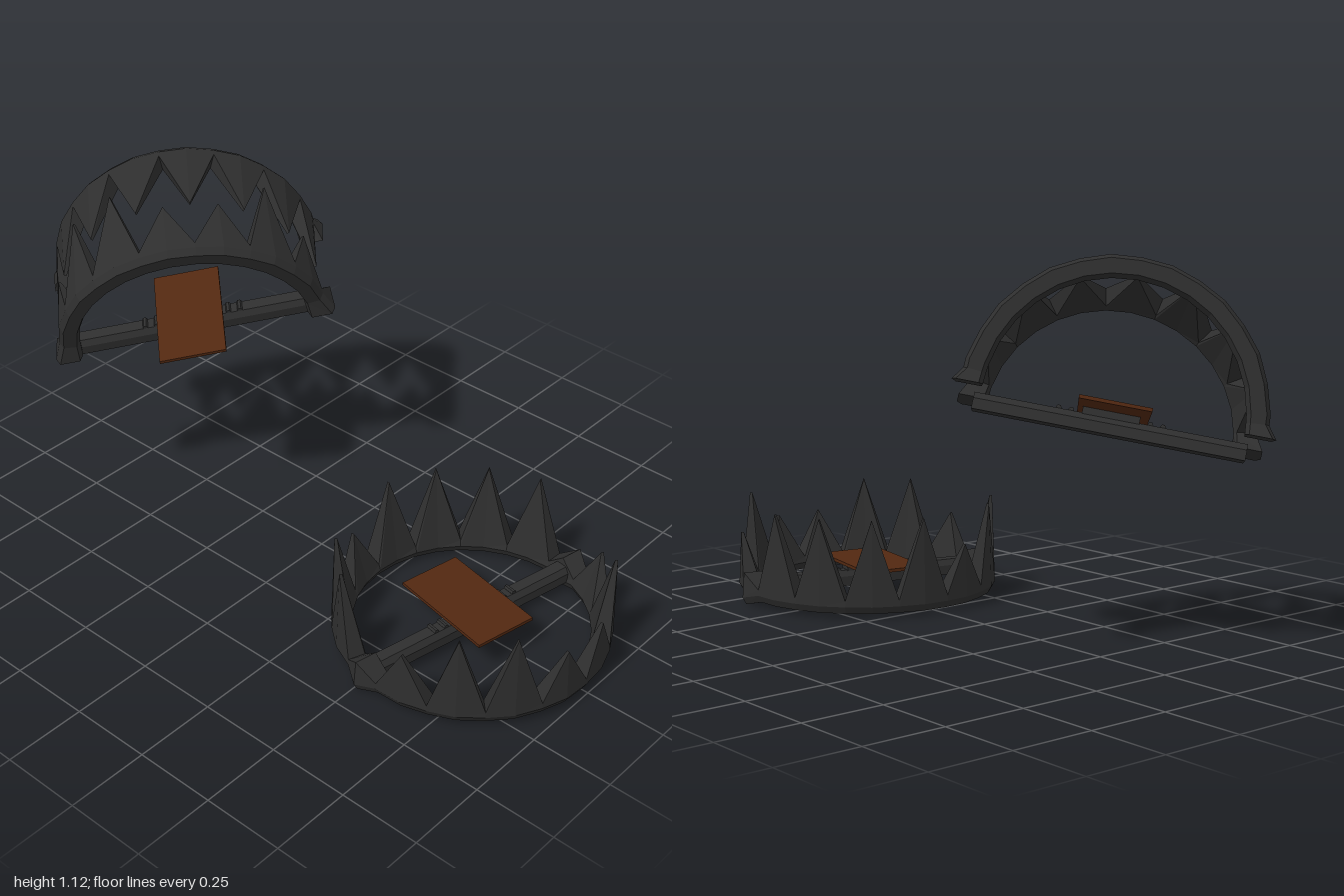
import * as THREE from 'three';

const iron = new THREE.MeshStandardMaterial({ color: 0x2e2e2e, flatShading: true });
const rust = new THREE.MeshStandardMaterial({ color: 0x522811, flatShading: true });
const rad = THREE.MathUtils.degToRad;
const STEP = rad(23.2);

function part(name, geometry, material, x = 0, y = 0, z = 0) {
  const mesh = new THREE.Mesh(geometry, material);
  mesh.name = name;
  mesh.position.set(x, y, z);
  return mesh;
}

// Half ring on the +x side; the top edge rises and thins into a tooth at each tip,
// and both ends flare into a low hinge
function jawGeometry(heights) {
  const limit = rad(85);
  const valley = (a) => ({
    a: THREE.MathUtils.clamp(a, -limit, limit), top: 0.055, out: 0.405, inn: 0.352, low: 0.015, rim: 0.406,
  });
  const tip = (a, top) => ({ a, top, out: 0.4, inn: 0.392, low: 0.015, rim: 0.408 });
  const hinge = (a) => ({ a, top: 0.1, out: 0.422, inn: 0.352, low: 0, rim: 0.428 });
  const mid = (heights.length - 1) / 2;
  const sections = [hinge(-Math.PI / 2), valley(-(mid + 0.5) * STEP)];
  heights.forEach((top, i) => {
    const a = (i - mid) * STEP;
    sections.push(tip(a, top), valley(a + STEP / 2));
  });
  sections.push(hinge(Math.PI / 2));

  const rings = sections.map(({ a, top, out, inn, low, rim }) =>
    [[0.355, low], [rim - 0.012, low], [rim, low + 0.022], [out, top], [inn, top], [0.345, low + 0.022]]
      .map(([r, y]) => [r * Math.cos(a), y, r * Math.sin(a)]));
  const pos = [];
  const tri = (...points) => points.forEach((p) => pos.push(...p));
  const n = 6;
  for (let i = 0; i < rings.length - 1; i++) {
    for (let j = 0; j < n; j++) {
      const k = (j + 1) % n;
      const [p, q] = [rings[i], rings[i + 1]];
      tri(p[j], p[k], q[j]);
      tri(p[k], q[k], q[j]);
    }
  }
  const [first, last] = [rings[0], rings[rings.length - 1]];
  for (let j = 1; j < n - 1; j++) {
    tri(first[0], first[j + 1], first[j]);
    tri(last[0], last[j], last[j + 1]);
  }
  const geometry = new THREE.BufferGeometry();
  geometry.setAttribute('position', new THREE.Float32BufferAttribute(pos, 3));
  geometry.computeVertexNormals();
  return geometry;
}

// Chamfered bar along z
function barGeometry() {
  const s = new THREE.Shape();
  [[-0.03, 0.03], [0.03, 0.03], [0.03, 0.06], [0.018, 0.078], [-0.018, 0.078], [-0.03, 0.06]]
    .forEach(([x, y], i) => (i ? s.lineTo(x, y) : s.moveTo(x, y)));
  return new THREE.ExtrudeGeometry(s, { depth: 0.76, bevelEnabled: false }).translate(0, 0, -0.38);
}

// Base shared by both traps: each jaw is given by its tooth heights
function trap(name, leftTeeth, rightTeeth, plateX) {
  const group = new THREE.Group();
  group.name = name;

  const leftJaw = part('leftJaw', jawGeometry(leftTeeth), iron);
  const rightJaw = new THREE.Group();
  rightJaw.name = 'rightJaw';
  const rightRing = part('rightJawRing', jawGeometry(rightTeeth), iron);
  rightRing.rotation.y = Math.PI;
  rightJaw.add(rightRing);
  group.add(leftJaw, rightJaw);

  // Cross bar, trigger plate and its small mounts
  group.add(part('crossBar', barGeometry(), iron));
  group.add(part('triggerPlate', new THREE.BoxGeometry(0.343, 0.01, 0.2), rust, plateX, 0.1, 0.005));
  group.add(part('plateMount', new THREE.BoxGeometry(0.04, 0.025, 0.16), iron, 0, 0.085, 0));
  for (const side of [-1, 1]) {
    for (const offset of [0.11, 0.145]) {
      const pin = part('mountPin', new THREE.CylinderGeometry(0.008, 0.008, 0.036, 6), iron, 0, 0.08, side * offset);
      pin.rotation.z = Math.PI / 2;
      group.add(pin);
    }
  }
  return { group, leftJaw, rightJaw };
}

export function createModel() {
  const model = new THREE.Group();
  model.name = 'jawTraps';

  // Open trap lying on the ground
  const open = trap('openTrap', [0.2, 0.3, 0.2, 0.2, 0.3, 0.3, 0.2], [0.3, 0.3, 0.2, 0.3, 0.3, 0.3, 0.3], -0.018);
  open.group.position.set(0.592, 0, 0.01);
  open.group.rotation.y = -0.2;

  // Closed trap, raised and tilted, its jaws swung up so the teeth interleave
  const closed = trap('closedTrap', [0.2, 0.3, 0.2, 0.2, 0.3, 0.3, 0.2],
    [0.28, 0.28, 0.28, 0.28, 0.28, 0.28, 0.28, 0.28], 0.015);
  closed.leftJaw.rotation.z = rad(82);
  closed.leftJaw.position.set(0.075, 0.05, 0);
  closed.rightJaw.rotation.z = rad(-86);
  closed.rightJaw.position.set(-0.318, 0.06, 0);
  const z = new THREE.Vector3(-0.69, -0.18, 0.7).normalize();
  const y = new THREE.Vector3().crossVectors(z, new THREE.Vector3(0.7, -0.27, 0.66)).normalize();
  const x = new THREE.Vector3().crossVectors(y, z);
  closed.group.quaternion.setFromRotationMatrix(new THREE.Matrix4().makeBasis(x, y, z));
  closed.group.position.set(-0.48, 0.583, 0.03);

  model.add(open.group, closed.group);
  return model;
}
